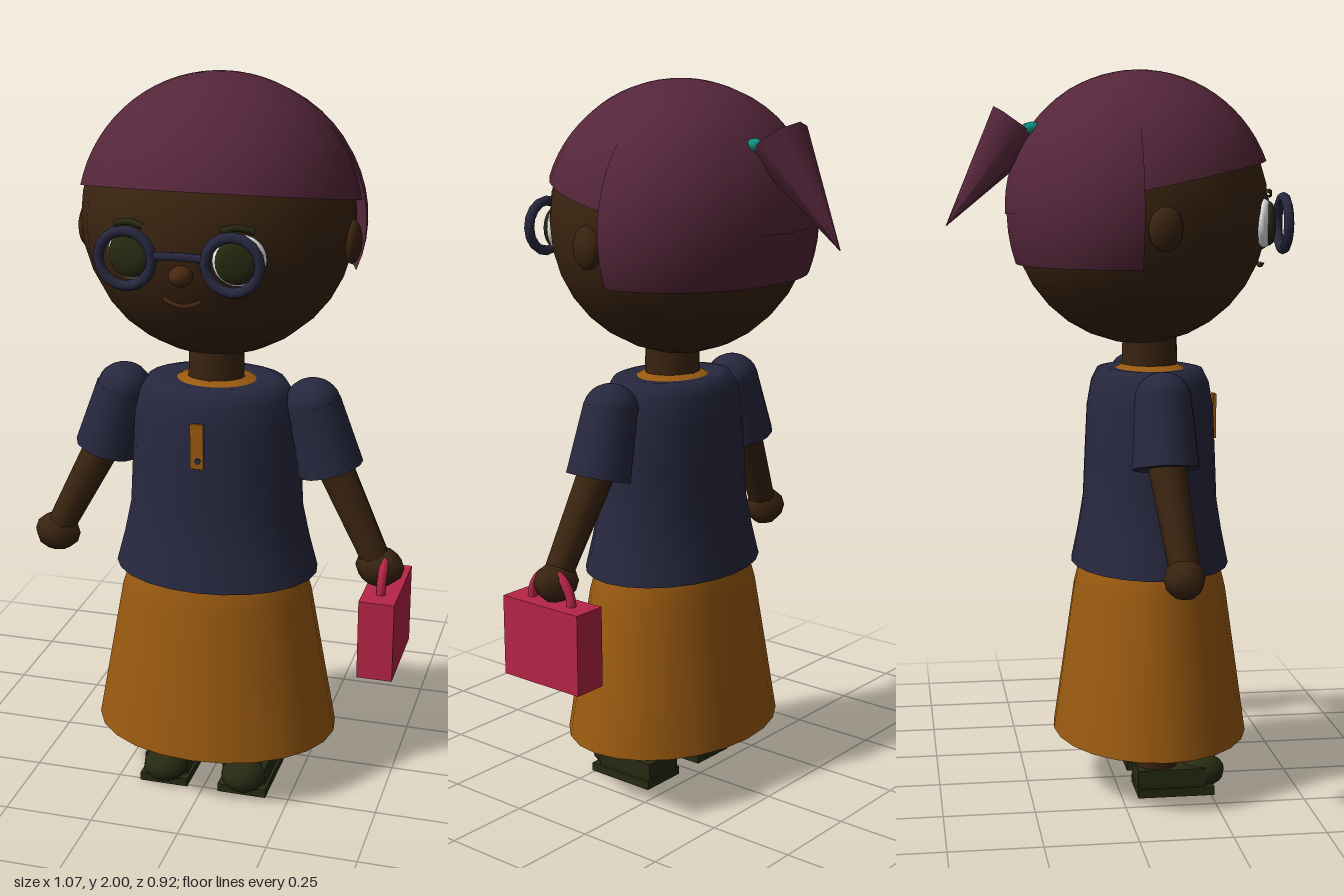
import * as THREE from 'three';

const mat = (name, color, double) => {
  const m = new THREE.MeshStandardMaterial({ color });
  m.name = name;
  if (double) m.side = THREE.DoubleSide;
  return m;
};

export function createModel() {
  const hair = mat('plum hair', 0x55263a, true);
  const skin = mat('brown skin', 0x3a2410);
  const blush = mat('warm brown', 0x4a2812);
  const navy = mat('navy', 0x27283f, true);
  const ochre = mat('ochre', 0x9a5a10, true);
  const olive = mat('dark olive', 0x272a12);
  const white = mat('white', 0xf0f0f0);
  const red = mat('red', 0xb82548);
  const teal = mat('teal', 0x10907f);

  const root = new THREE.Group();
  const add = (name, geo, m, x = 0, y = 0, z = 0, parent = root) => {
    const mesh = new THREE.Mesh(geo, m);
    mesh.name = name;
    mesh.position.set(x, y, z);
    parent.add(mesh);
    return mesh;
  };
  const ball = (name, m, pos, size, parent = root, w = 16, h = 12) => {
    const mesh = add(name, new THREE.SphereGeometry(1, w, h), m, ...pos, parent);
    mesh.scale.set(...size);
    return mesh;
  };
  // tapered cylinder from point a to point b
  const limb = (name, m, a, b, ra, rb, parent = root, sides = 12) => {
    const A = new THREE.Vector3(...a), B = new THREE.Vector3(...b);
    const dir = B.clone().sub(A);
    const mesh = add(name, new THREE.CylinderGeometry(rb, ra, dir.length(), sides), m, 0, 0, 0, parent);
    mesh.position.copy(A).add(B).multiplyScalar(0.5);
    mesh.quaternion.setFromUnitVectors(new THREE.Vector3(0, 1, 0), dir.normalize());
    return mesh;
  };
  const lathe = (name, m, points, z, depth) => {
    const geo = new THREE.LatheGeometry(points.map(p => new THREE.Vector2(...p)), 24);
    const mesh = add(name, geo, m, 0, 0, z);
    mesh.scale.z = depth;
    return mesh;
  };
  const tube = (name, m, pts, r, parent = root) => {
    const curve = new THREE.CatmullRomCurve3(pts.map(p => new THREE.Vector3(...p)));
    return add(name, new THREE.TubeGeometry(curve, 10, r, 6), m, 0, 0, 0, parent);
  };

  // Head and neck
  ball('head', skin, [0, 1.622, 0.07], [0.366, 0.367, 0.355], root, 20, 16);
  limb('neck', skin, [0, 1.13, 0.1], [0, 1.32, 0.1], 0.08, 0.075);

  // Hair: tilted cap with a longer shell at the back
  const cap = add('hairCap', new THREE.SphereGeometry(1, 28, 16, 0, Math.PI * 2, 0, 1.41), hair, 0, 1.625, 0.07);
  cap.scale.set(0.377, 0.375, 0.37);
  cap.rotation.x = -0.2;
  const back = add('backHair', new THREE.SphereGeometry(1, 18, 16, Math.PI, Math.PI, 0, 1.96), hair, 0, 1.617, 0.028);
  back.scale.set(0.386, 0.373, 0.323);

  // Ponytail with two ties
  limb('ponytail', hair, [0, 1.85, -0.26], [0, 1.58, -0.46], 0.085, 0.001, root, 8);

  // Face, mirrored about the middle
  for (const s of [-1, 1]) {
    const side = new THREE.Group();
    side.name = s > 0 ? 'leftFace' : 'rightFace';
    root.add(side);
    ball('hairTie', teal, [s * 0.062, 1.84, -0.23], [0.018, 0.018, 0.024], side, 10, 8);
    ball('ear', skin, [s * 0.362, 1.58, 0.085], [0.025, 0.058, 0.045], side);
    const eye = ball('eyeWhite', white, [s * 0.142, 1.588, 0.39], [0.068, 0.066, 0.024], side);
    eye.rotation.y = s * 0.35;
    const iris = ball('iris', olive, [s * 0.14, 1.588, 0.405], [0.058, 0.058, 0.018], side);
    iris.rotation.y = s * 0.2;
    tube('eyebrow', olive, [[s * 0.1, 1.664, 0.412], [s * 0.14, 1.672, 0.402], [s * 0.18, 1.662, 0.388]], 0.009, side);
    add('glassesRim', new THREE.TorusGeometry(0.07, 0.014, 8, 16), navy, s * 0.138, 1.588, 0.443, side);
  }
  tube('glassesBridge', navy, [[-0.075, 1.598, 0.443], [0, 1.602, 0.445], [0.075, 1.598, 0.443]], 0.011);
  ball('nose', blush, [0, 1.547, 0.424], [0.031, 0.027, 0.03]);
  tube('mouth', blush, [[-0.05, 1.482, 0.408], [-0.025, 1.471, 0.41], [0, 1.467, 0.411], [0.025, 1.471, 0.41], [0.05, 1.482, 0.408]], 0.006);

  // Clothes
  lathe('skirt', ochre, [[0.345, 0.155], [0.27, 0.57], [0.248, 0.64], [0.21, 0.74]], 0.1, 0.79);
  lathe('shirt', navy, [[0.286, 0.64], [0.262, 0.73], [0.243, 0.82], [0.236, 0.95], [0.228, 1.08],
    [0.212, 1.15], [0.19, 1.185], [0.16, 1.19], [0.11, 1.185]], 0.1, 0.77);
  lathe('collar', ochre, [[0.125, 1.175], [0.085, 1.198], [0.07, 1.19]], 0.1, 0.9);
  add('placket', new THREE.BoxGeometry(0.036, 0.125, 0.009), ochre, -0.003, 1.048, 0.282);
  add('placketButton', new THREE.CylinderGeometry(0.009, 0.009, 0.006, 8), navy, 0, 1.008, 0.286).rotation.x = Math.PI / 2;

  // Arms, legs and shoes
  for (const s of [-1, 1]) {
    const side = new THREE.Group();
    side.name = s > 0 ? 'leftLimbs' : 'rightLimbs';
    root.add(side);
    limb('sleeve', navy, [s * 0.32, 0.952, 0.095], [s * 0.267, 1.135, 0.095], 0.09, 0.076, side, 14);
    ball('shoulder', navy, [s * 0.267, 1.133, 0.095], [0.076, 0.07, 0.076], side);
    limb('arm', skin, [s * 0.3, 1.02, 0.09], [s * 0.457, 0.71, 0.122], 0.053, 0.04, side, 10);
    ball('hand', skin, [s * 0.467, 0.69, 0.12], [0.068, 0.055, 0.055], side, 8, 6);
    limb('leg', skin, [s * 0.112, 0.05, 0.105], [s * 0.11, 0.66, 0.105], 0.058, 0.075, side);
    add('sole', new THREE.BoxGeometry(0.14, 0.024, 0.215), olive, s * 0.115, 0.012, 0.152, side);
    add('shoeUpper', new THREE.BoxGeometry(0.124, 0.055, 0.19), olive, s * 0.115, 0.048, 0.14, side);
    ball('toe', olive, [s * 0.115, 0.052, 0.235], [0.064, 0.046, 0.064], side, 12, 10);
  }

  // Handbag carried in the left hand
  add('bag', new THREE.BoxGeometry(0.097, 0.225, 0.27), red, 0.485, 0.528, 0.12);
  add('bagHandle', new THREE.TorusGeometry(0.072, 0.013, 8, 16, Math.PI), red, 0.485, 0.638, 0.12).rotation.y = Math.PI / 2;
  root.getObjectByName('bagHandle').scale.y = 1.15;

  return root;
}
